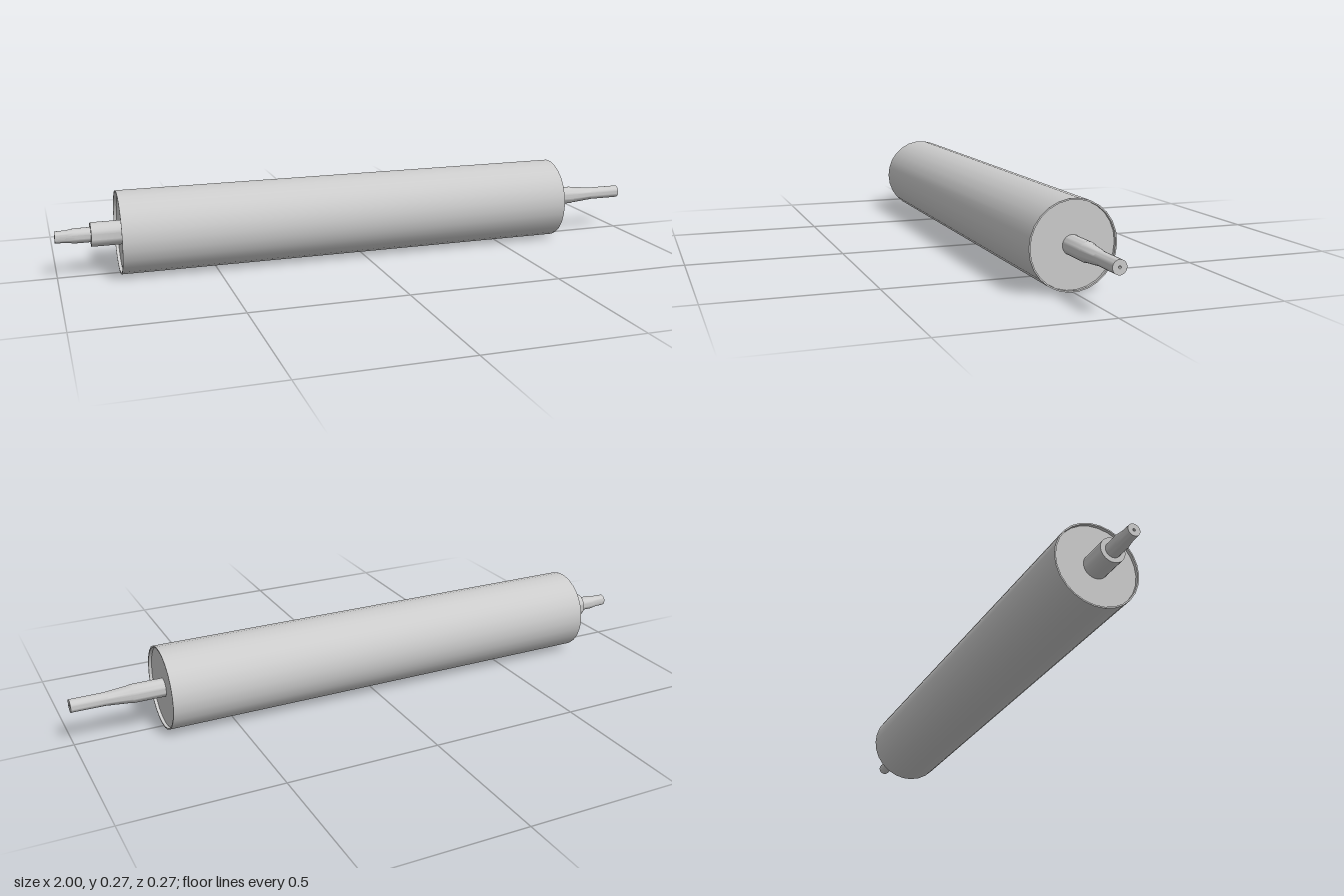
import * as THREE from 'three';
import { toCreasedNormals } from 'three/addons/utils/BufferGeometryUtils.js';

const SIDES = 26;
const RADIUS = 0.1345;
const AXIS_Y = RADIUS * Math.cos(Math.PI / SIDES);

// Turned part along x; profile is [radius, x] from -x to +x
function turned(name, profile) {
  const points = profile.map(([r, x]) => new THREE.Vector2(r, x));
  const geometry = new THREE.LatheGeometry(points, SIDES);
  geometry.rotateZ(-Math.PI / 2);
  const material = new THREE.MeshStandardMaterial({ color: 0xcccccc });
  const mesh = new THREE.Mesh(toCreasedNormals(geometry, 0.5), material);
  mesh.name = name;
  mesh.position.y = AXIS_Y;
  return mesh;
}

export function createModel() {
  const group = new THREE.Group();
  group.name = 'roller';

  // Drum with a thin rim around each slightly recessed end face
  group.add(turned('drum', [
    [0, -0.795], [0.13, -0.795], [0.13, -0.805], [RADIUS, -0.805],
    [RADIUS, 0.717], [0.13, 0.717], [0.13, 0.707], [0, 0.707],
  ]));

  // Short stepped journal with a drilled centre
  group.add(turned('rightJournal', [
    [0, -0.985], [0.004, -0.988], [0.004, -1], [0.019, -1], [0.02, -0.965],
    [0.024, -0.94], [0.024, -0.89], [0.039, -0.89], [0.039, -0.79], [0, -0.79],
  ]));

  // Long tapered journal with a drilled centre
  group.add(turned('leftJournal', [
    [0, 0.7], [0.03, 0.7], [0.03, 0.81], [0.028, 0.815], [0.022, 0.885],
    [0.021, 0.89], [0.021, 1], [0.004, 1], [0.004, 0.988], [0, 0.985],
  ]));

  return group;
}
